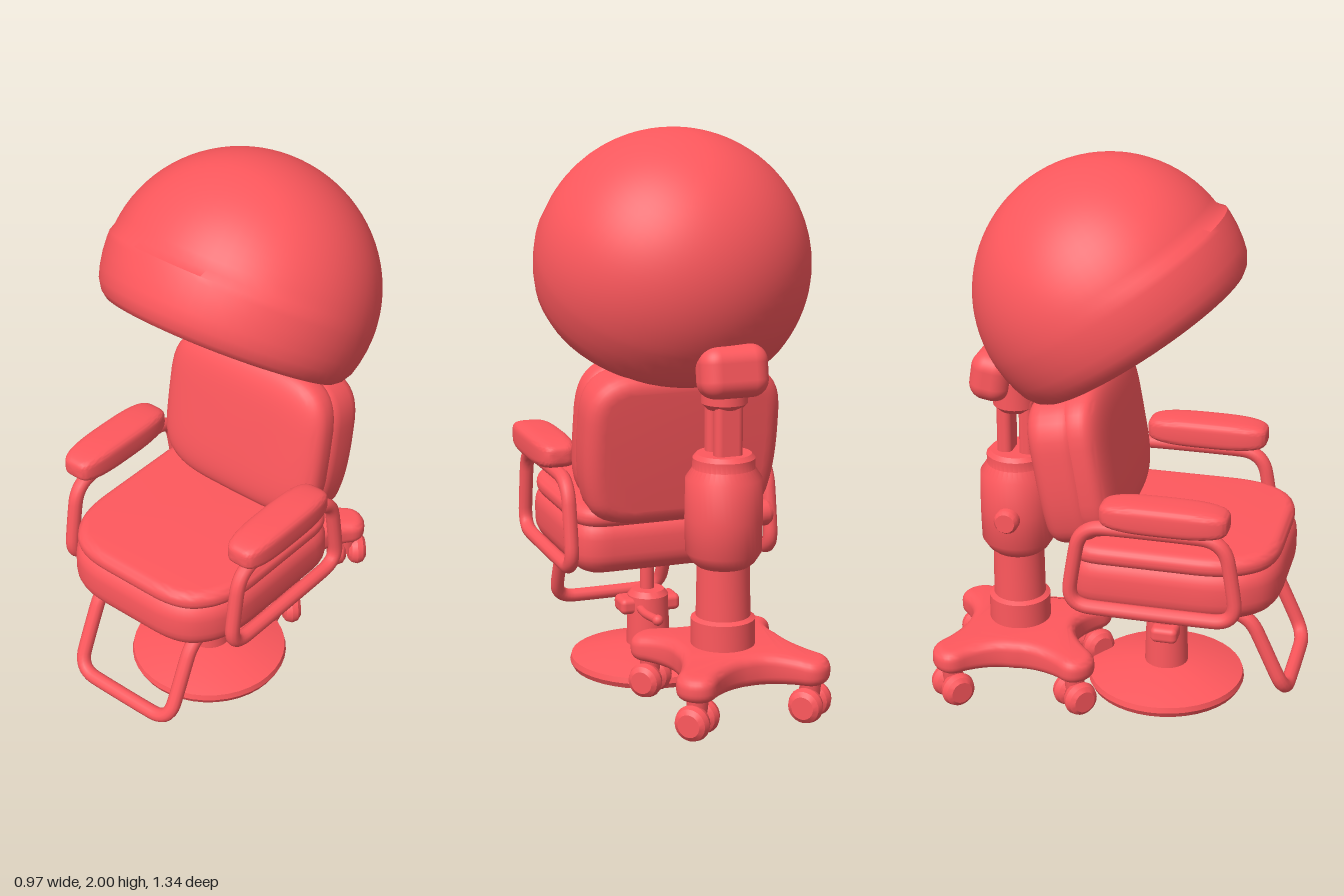
import * as THREE from 'three';
import { toCreasedNormals } from 'three/addons/utils/BufferGeometryUtils.js';
import { RoundedBoxGeometry } from 'three/addons/geometries/RoundedBoxGeometry.js';

const material = new THREE.MeshStandardMaterial({ color: 0xff585d, side: THREE.DoubleSide });

function add(parent, name, geometry, x = 0, y = 0, z = 0) {
  const mesh = new THREE.Mesh(geometry, material);
  mesh.name = name;
  mesh.position.set(x, y, z);
  parent.add(mesh);
  return mesh;
}

function group(parent, name, x = 0, y = 0, z = 0) {
  const g = new THREE.Group();
  g.name = name;
  g.position.set(x, y, z);
  parent.add(g);
  return g;
}

// Polyline with rounded corners, as sampled points
function rounded(corners, radius, closed) {
  const pts = corners.map(c => new THREE.Vector3(...c));
  const n = pts.length, out = [];
  pts.forEach((p, i) => {
    if (!closed && (i === 0 || i === n - 1)) return out.push(p);
    const ends = [pts[(i + n - 1) % n], pts[(i + 1) % n]].map(q => {
      const d = q.clone().sub(p);
      return p.clone().addScaledVector(d.clone().normalize(), Math.min(radius, d.length() * 0.45));
    });
    out.push(...new THREE.QuadraticBezierCurve3(ends[0], p, ends[1]).getPoints(8));
  });
  return out;
}

const tube = (corners, radius, bend, closed = false) => new THREE.TubeGeometry(
  new THREE.CatmullRomCurve3(rounded(corners, bend, closed), closed), 120, radius, 12, closed);

// Padded slab: outline in xy, thickness from z = 0 to z = t
function slab(outline, t, bevel) {
  const geo = new THREE.ExtrudeGeometry(new THREE.Shape(outline), {
    depth: t - 2 * bevel, bevelThickness: bevel, bevelSize: bevel,
    bevelOffset: -bevel, bevelSegments: 6,
  });
  geo.translate(0, 0, bevel);
  return toCreasedNormals(geo, 0.7);
}

// Crowned cushion: a sphere squared off in xy and towards its z ends
function pillow(w, h, d) {
  const geo = new THREE.SphereGeometry(1, 48, 32).rotateX(Math.PI / 2);
  const pos = geo.attributes.position;
  const pow = (v, e) => Math.sign(v) * Math.abs(v) ** e;
  for (let i = 0; i < pos.count; i++) {
    const x = pos.getX(i), y = pos.getY(i), r = Math.hypot(x, y) || 1e-9;
    const spread = r ** 0.45;
    pos.setXYZ(i, w * pow(x / r, 0.5) * spread, h * pow(y / r, 0.5) * spread, d * pow(pos.getZ(i), 0.7));
  }
  return toCreasedNormals(geo, 1);
}

const lathe = (profile, segments = 40) => toCreasedNormals(
  new THREE.LatheGeometry(profile.map(p => new THREE.Vector2(...p)), segments), 0.6);

function buildChair(root) {
  const chair = group(root, 'chair', 0.02, 0, 0);

  // Round floor plate, pump and post
  add(chair, 'chairBase', lathe([[0, 0], [0.28, 0], [0.29, 0.02], [0.285, 0.04], [0.22, 0.06],
    [0.12, 0.08], [0.08, 0.085], [0.075, 0.27], [0.06, 0.29], [0, 0.29]]), 0, 0, 0.16);
  add(chair, 'pumpCollar', new RoundedBoxGeometry(0.23, 0.06, 0.1, 3, 0.02), 0, 0.235, 0.17);
  add(chair, 'chairPost', new THREE.CylinderGeometry(0.026, 0.026, 0.22, 20), 0, 0.36, 0.17);
  add(chair, 'seatMount', new RoundedBoxGeometry(0.16, 0.04, 0.2, 3, 0.015), 0, 0.45, 0.17);
  add(chair, 'pumpLever', tube([[0.04, 0.23, 0.17], [0.05, 0.23, 0.05], [0.05, 0.25, -0.09]], 0.016, 0.04));
  add(chair, 'leverTip', new THREE.SphereGeometry(0.02, 14, 10), 0.05, 0.25, -0.09);

  // Seat shell and cushion
  const plan = s => rounded([[-0.36 * s, -0.14], [0.36 * s, -0.14], [0.36 * s, 0.46 * s],
    [0.24 * s, 0.61 * s], [-0.24 * s, 0.61 * s], [-0.36 * s, 0.46 * s]], 0.13, true);
  add(chair, 'seat', slab(plan(1), 0.215, 0.08).rotateX(Math.PI / 2), 0, 0.66, 0);
  add(chair, 'seatCushion', slab(plan(0.985), 0.075, 0.036).rotateX(Math.PI / 2), 0, 0.695, 0);

  // Leaning backrest with a crowned front pad
  const back = group(chair, 'backrest', 0, 0.65, -0.09);
  back.rotation.x = -0.17;
  const outline = rounded([[-0.31, 0], [0.31, 0], [0.36, 0.2], [0.35, 0.56], [-0.35, 0.56], [-0.36, 0.2]], 0.17, true);
  add(back, 'backShell', slab(outline, 0.185, 0.06), 0, 0, -0.108);
  add(back, 'backPad', pillow(0.35, 0.285, 0.085), 0, 0.295, 0.075);

  // Arm loops and pads
  for (const side of [-1, 1]) {
    const arm = group(chair, side > 0 ? 'leftArm' : 'rightArm', side * 0.375, 0, 0);
    add(arm, 'armFrame', tube([[0, 0.475, 0.49], [0, 0.79, 0.44], [0, 0.79, -0.07], [0, 0.475, -0.12]],
      0.026, 0.09, true));
    add(arm, 'armPad', pillow(0.075, 0.055, 0.225), 0, 0.857, 0.23);
  }

  // Foot rest
  add(chair, 'footRest', tube([[-0.215, 0.44, 0.05], [-0.215, 0.435, 0.5], [-0.215, 0.13, 0.64],
    [0.215, 0.13, 0.64], [0.215, 0.435, 0.5], [0.215, 0.44, 0.05]], 0.026, 0.08));
}

function buildStand(root) {
  const stand = group(root, 'dryerStand', -0.095, 0, -0.36);

  // Four-legged base with concave sides
  const angles = [0.78, 2.2, 3.89, 5.44], star = new THREE.Shape();
  const polar = (a, r) => [Math.cos(a) * r, Math.sin(a) * r];
  const middle = (p, q) => [(p[0] + q[0]) / 2, (p[1] + q[1]) / 2];
  angles.forEach((a, k) => {
    const c = Math.cos(a), s = Math.sin(a);
    const at = (r, w) => [c * r - s * w, s * r + c * w];
    const before = k ? (angles[k - 1] + a) / 2 : (angles[3] - 2 * Math.PI + a) / 2;
    const after = k < 3 ? (a + angles[k + 1]) / 2 : (a + angles[0] + 2 * Math.PI) / 2;
    const near = at(0.29, -0.072), far = at(0.29, 0.072);
    if (k === 0) star.moveTo(...polar(before, 0.2));
    star.quadraticCurveTo(...middle(polar(before, 0.135), near), ...near);
    star.quadraticCurveTo(...at(0.365, -0.075), ...at(0.37, 0));
    star.quadraticCurveTo(...at(0.365, 0.075), ...far);
    star.quadraticCurveTo(...middle(polar(after, 0.135), far), ...polar(after, 0.2));

    // Twin-wheel caster, all trailing the same way
    const caster = group(stand, 'caster', c * 0.302, 0, s * 0.302);
    caster.rotation.y = -Math.PI / 4;
    add(caster, 'casterStem', new THREE.CylinderGeometry(0.04, 0.032, 0.1, 16), 0, 0.11, 0);
    for (const side of [-1, 1]) {
      const wheel = add(caster, 'wheel', lathe([[0, -0.034], [0.04, -0.034], [0.056, -0.022], [0.063, 0],
        [0.056, 0.022], [0.04, 0.034], [0, 0.034]], 24), 0, 0.063, side * 0.04);
      wheel.rotation.x = Math.PI / 2;
    }
  });
  // Legs dip towards the casters
  const base = slab(star.getPoints(8), 0.115, 0.035).rotateX(Math.PI / 2);
  const pos = base.attributes.position;
  for (let i = 0; i < pos.count; i++) {
    const out = Math.max(0, Math.hypot(pos.getX(i), pos.getZ(i)) - 0.18) / 0.2;
    if (pos.getY(i) > -0.06) pos.setY(i, pos.getY(i) - 0.03 * out);
  }
  add(stand, 'standBase', base, 0, 0.25, 0);

  // Column with motor housing
  const mast = group(stand, 'mast', 0.028, 0, -0.017);
  add(mast, 'column', lathe([[0, 0.2], [0.112, 0.2], [0.112, 0.34], [0.095, 0.35], [0.092, 0.53], [0.11, 0.545],
    [0.132, 0.58], [0.135, 0.7], [0.132, 0.84], [0.108, 0.875], [0.108, 0.91], [0.095, 0.925], [0, 0.925]]));
  const knobProfile = [[0, -0.03], [0.045, -0.03], [0.045, 0.015], [0.035, 0.03], [0, 0.03]];
  add(mast, 'sideKnob', lathe(knobProfile, 20), -0.14, 0.7, 0).rotation.z = Math.PI / 2;
  add(mast, 'frontKnob', lathe(knobProfile, 20), 0, 0.7, 0.135).rotation.x = Math.PI / 2;

  // Forked neck, sleeve and hood bracket
  for (const z of [-0.035, 0.047]) {
    add(mast, 'neckRod', new RoundedBoxGeometry(0.1, 0.24, 0.055, 3, 0.022), 0, 1.02, z);
  }
  add(mast, 'neckSleeve', lathe([[0, 1.08], [0.06, 1.08], [0.08, 1.1], [0.08, 1.2], [0.06, 1.22], [0, 1.22]], 28));
  const bracket = add(mast, 'hoodBracket', new RoundedBoxGeometry(0.24, 0.18, 0.15, 6, 0.06), 0, 1.22, -0.068);
  bracket.rotation.x = 0.15;
}

function buildHood(root) {
  const R = 0.472, profile = [];
  // Inside of the bowl, rolled rim, then the outer dome
  for (let i = 0; i <= 14; i++) {
    const a = Math.PI / 2 * (1 - i / 14);
    profile.push([0.39 * Math.cos(a), -0.08 + 0.42 * Math.sin(a)]);
  }
  profile.push([0.37, -0.13], [0.347, -0.165], [0.355, -0.187], [0.38, -0.197], [0.408, -0.193], [0.43, -0.175]);
  for (const y of [-0.14, -0.1, -0.05, 0, 0.02, 0.045]) profile.push([Math.sqrt(R * R - y * y), y]);
  for (let i = 1; i <= 20; i++) {
    const a = 0.1 + (Math.PI / 2 - 0.1) * i / 20;
    profile.push([Math.max(0, R * Math.cos(a)), R * Math.sin(a)]);
  }
  const geo = new THREE.LatheGeometry(profile.map(p => new THREE.Vector2(...p)), 64);
  // Slightly wide dome, with a visor band swelling out towards the front
  const pos = geo.attributes.position;
  for (let i = 0; i < pos.count; i++) {
    const z = pos.getZ(i);
    pos.setX(i, pos.getX(i) * 1.025);
    if (pos.getY(i) < 0.03) pos.setZ(i, z + 0.022 * Math.max(0, z / R));
  }
  const hood = add(root, 'dryerHood', toCreasedNormals(geo, 0.7), 0, 1.528, -0.05);
  hood.rotation.x = -0.598;
}

export function createModel() {
  const model = new THREE.Group();
  model.name = 'salonDryerChair';
  buildChair(model);
  buildStand(model);
  buildHood(model);
  return model;
}
